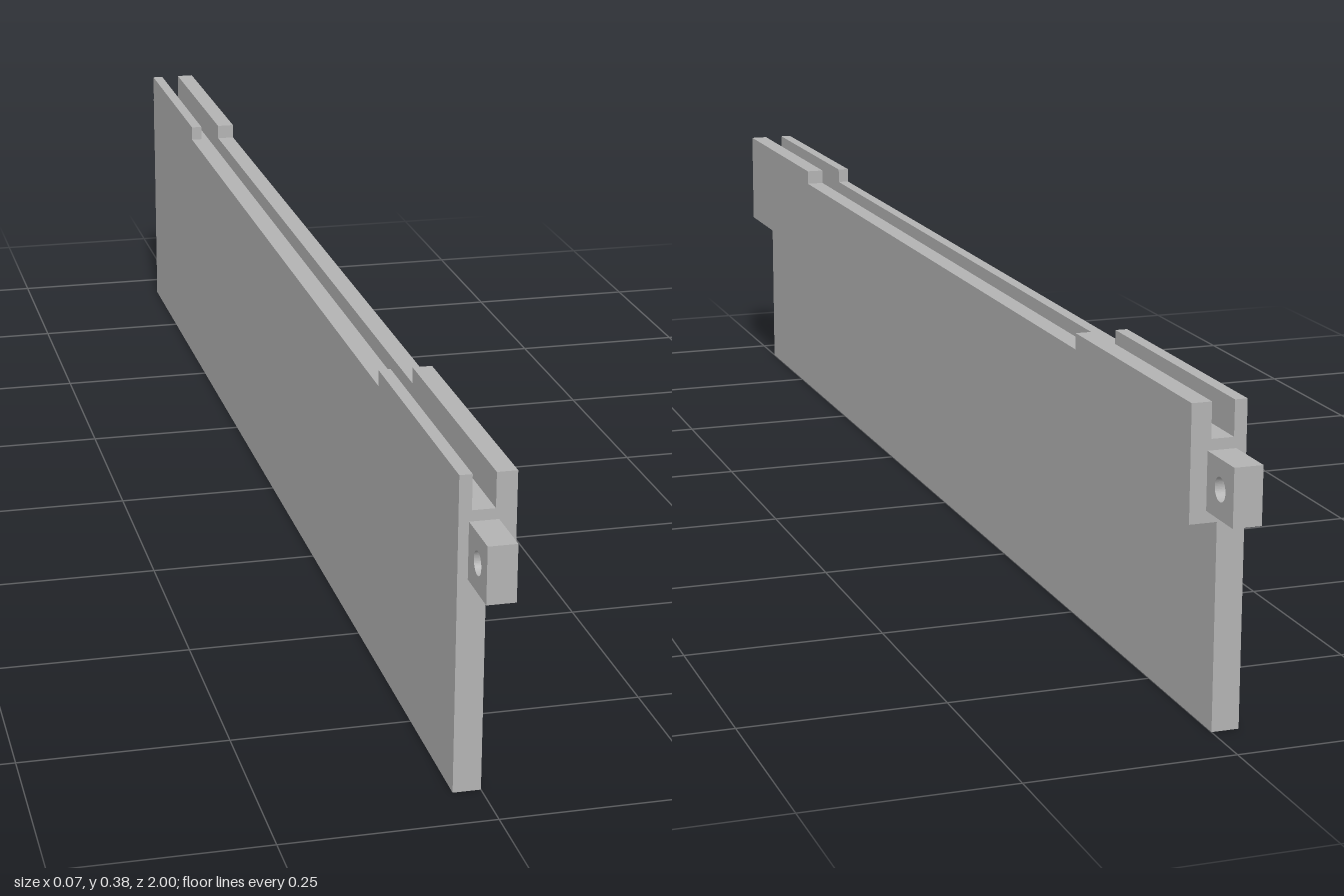
import * as THREE from 'three';

export function createModel() {
  const group = new THREE.Group();
  const grey = new THREE.MeshStandardMaterial({ color: 0xb3b3b3 });
  grey.name = 'grey';
  const add = (geometry, name) => {
    const mesh = new THREE.Mesh(geometry, grey);
    mesh.name = name;
    group.add(mesh);
    return mesh;
  };

  const halfLength = 0.93, notch = 0.585;
  const notchY = 0.362, topY = 0.382;

  // Main bar: thin plate with a wider grooved head, one constant cross-section
  const profile = new THREE.Shape([
    [-0.033, 0], [0, 0], [0, 0.245], [0.033, 0.245], [0.033, notchY],
    [0.009, notchY], [0.009, 0.34], [-0.018, 0.34], [-0.018, notchY], [-0.033, notchY],
  ].map(([x, y]) => new THREE.Vector2(x, y)));
  const bar = new THREE.ExtrudeGeometry(profile, { depth: halfLength * 2, bevelEnabled: false });
  bar.translate(0, 0, -halfLength);
  add(bar, 'groovedPlate');

  for (const end of [1, -1]) {
    // Raised groove walls at each end, leaving the long shallow notch between
    for (const [x0, x1, name] of [[-0.033, -0.018, 'thinRaisedWall'], [0.009, 0.033, 'thickRaisedWall']]) {
      const wall = new THREE.BoxGeometry(x1 - x0, topY - notchY, halfLength - notch);
      add(wall, name).position.set((x0 + x1) / 2, (topY + notchY) / 2, end * (halfLength + notch) / 2);
    }

    // End tab with a cross-drilled pin hole
    const tab = new THREE.Shape([[-0.035, -0.034], [0.035, -0.034], [0.035, 0.034], [-0.035, 0.034]]
      .map(([z, y]) => new THREE.Vector2(z, y)));
    tab.holes.push(new THREE.Path().absarc(0, 0, 0.014, 0, Math.PI * 2, true));
    const tabGeometry = new THREE.ExtrudeGeometry(tab, { depth: 0.034, bevelEnabled: false, curveSegments: 24 });
    tabGeometry.translate(0, 0, -0.017).rotateY(-Math.PI / 2);
    add(tabGeometry, 'endTab').position.set(-0.004, 0.293, end * 0.965);
  }
  return group;
}
